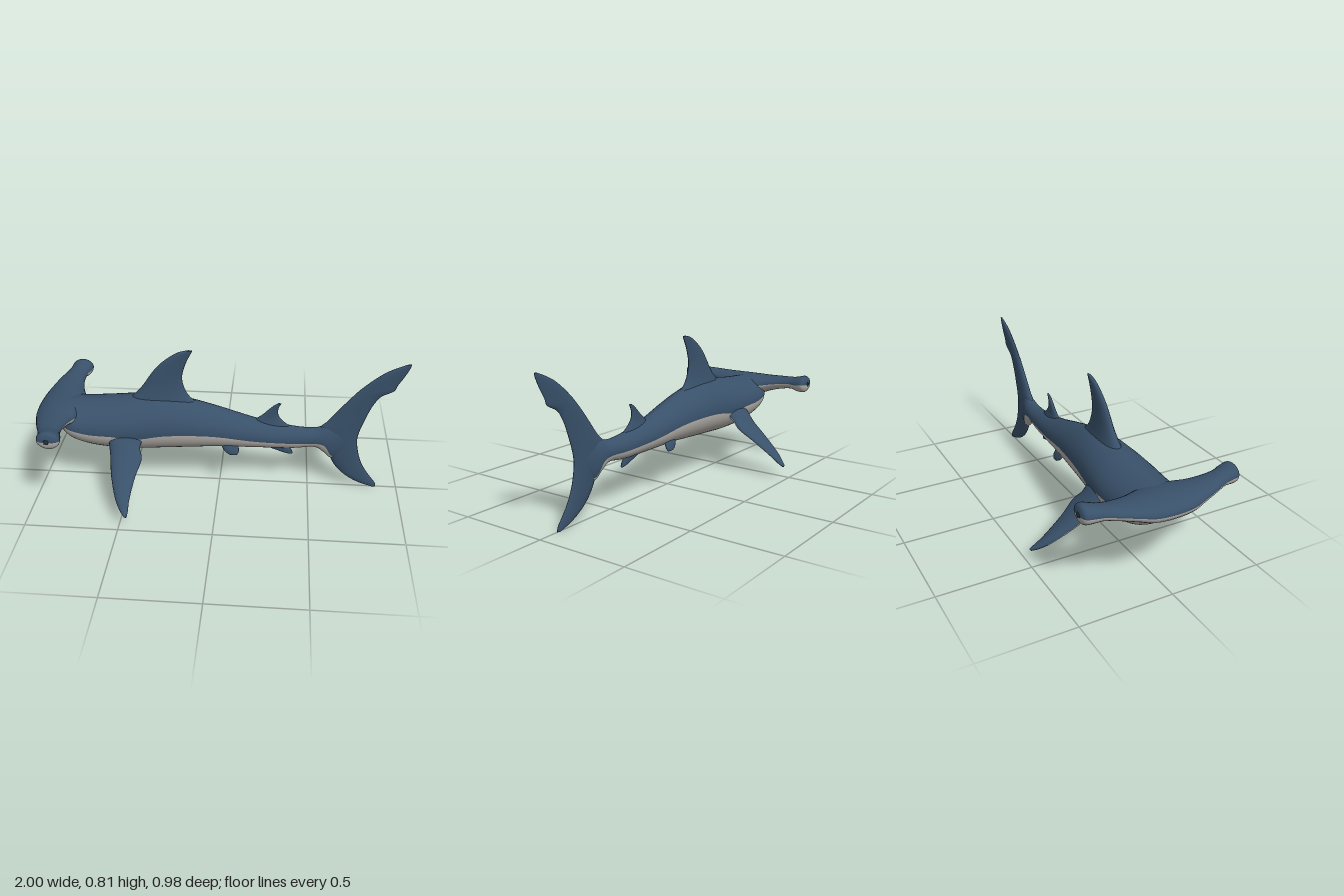
import * as THREE from 'three';

const blue = new THREE.MeshStandardMaterial({ color: 0x385069 });
blue.name = 'slate blue skin';
const pale = new THREE.MeshStandardMaterial({ color: 0xb2aea8 });
pale.name = 'pale belly';
const dark = new THREE.MeshStandardMaterial({ color: 0x22303e });
dark.name = 'dark eye';

// Catmull-Rom blend of four numbers
function blend(a, b, c, d, t) {
  const cubic = 3 * (b - c) + d - a;
  const square = 2 * a - 5 * b + 4 * c - d;
  return b + 0.5 * t * (c - a + t * (square + t * cubic));
}

// Smoothly resample a list of stations, each station being a row of numbers
function smooth(rows, steps) {
  const out = [];
  for (let i = 0; i < rows.length - 1; i++) {
    const a = rows[Math.max(i - 1, 0)], b = rows[i], c = rows[i + 1];
    const d = rows[Math.min(i + 2, rows.length - 1)];
    for (let s = 0; s < steps; s++) {
      out.push(b.map((v, k) => blend(a[k], v, c[k], d[k], s / steps)));
    }
  }
  out.push(rows[rows.length - 1]);
  return out;
}

// Skin closed rings of points, cap both ends; isPale(row, column) picks the colour
function loft(name, rings, isPale = () => false) {
  const n = rings[0].length, rows = rings.length, pos = rings.flat(2);
  const faces = [[], []];
  for (const r of [0, rows - 1]) {
    for (let k = 0; k < 3; k++) pos.push(rings[r].reduce((s, p) => s + p[k], 0) / n);
  }
  const capA = n * rows, capB = capA + 1;
  for (let i = 0; i < rows; i++) {
    for (let j = 0; j < n; j++) {
      const f = faces[isPale(i, j) ? 1 : 0], k = (j + 1) % n;
      const a = i * n + j, b = i * n + k;
      if (i === 0) f.push([capA, b, a]);
      if (i === rows - 1) f.push([capB, a, b]);
      else f.push([a, b, b + n], [a, b + n, a + n]);
    }
  }
  // Keep faces pointing outwards whichever way the rings run
  const point = (i) => new THREE.Vector3().fromArray(pos, i * 3);
  let volume = 0;
  for (const [a, b, c] of faces.flat()) volume += point(a).dot(point(b).cross(point(c)));
  if (volume < 0) faces.flat().forEach((f) => f.reverse());

  const geo = new THREE.BufferGeometry();
  geo.setAttribute('position', new THREE.Float32BufferAttribute(pos, 3));
  geo.setIndex(faces.flat(2));
  geo.addGroup(0, faces[0].length * 3, 0);
  geo.addGroup(faces[0].length * 3, faces[1].length * 3, 1);
  geo.computeVertexNormals();
  const mesh = new THREE.Mesh(geo, [blue, pale]);
  mesh.name = name;
  return mesh;
}

// Fin from sections [front x, back x, y, z, half thickness], thickened along (ny, nz)
function fin(name, sections, ny = 0, nz = 1, isPale = undefined) {
  const rings = smooth(sections, 4).map(([x0, x1, y, z, h]) =>
    Array.from({ length: 20 }, (_, j) => {
      const a = j / 20 * Math.PI * 2;
      const u = (1 - Math.cos(a)) / 2, t = h * Math.sin(a) * (1.15 - 0.4 * u);
      return [x0 + (x1 - x0) * u, y + ny * t, z + nz * t];
    }));
  return loft(name, rings, isPale);
}
const upright = (rows) => rows.map(([x0, x1, y, h]) => [x0, x1, y, 0, h]);

function createBody() {
  // x, top, bottom, half width, height of the colour line
  const stations = smooth([
    [-0.89, 0.485, 0.375, 0.07, 0.42],
    [-0.86, 0.498, 0.335, 0.12, 0.405],
    [-0.80, 0.505, 0.288, 0.157, 0.39],
    [-0.70, 0.512, 0.252, 0.166, 0.372],
    [-0.57, 0.525, 0.235, 0.17, 0.368],
    [-0.45, 0.54, 0.229, 0.16, 0.35],
    [-0.30, 0.545, 0.234, 0.142, 0.368],
    [-0.15, 0.52, 0.242, 0.124, 0.368],
    [0.00, 0.48, 0.25, 0.105, 0.355],
    [0.20, 0.42, 0.25, 0.08, 0.32],
    [0.40, 0.382, 0.25, 0.057, 0.302],
    [0.52, 0.378, 0.262, 0.047, 0.302],
    [0.58, 0.40, 0.225, 0.043, 0.285],
    [0.62, 0.41, 0.19, 0.035, 0.215],
    [0.67, 0.40, 0.22, 0.025, 0.225],
    [0.74, 0.36, 0.29, 0.012, 0.295],
  ], 5);
  const half = 20;
  const rings = stations.map(([x, top, bottom, w, line]) => {
    const mid = bottom + (top - bottom) * 0.47;
    const cosine = (line - mid) / (line > mid ? top - mid : mid - bottom);
    const split = Math.acos(THREE.MathUtils.clamp(cosine, -0.98, 0.98));
    return Array.from({ length: half * 2 }, (_, j) => {
      // First half of the ring lies above the colour line, the rest below it
      const a = j < half ? -split + 2 * split * j / half
        : split + 2 * (Math.PI - split) * (j - half) / half;
      const c = Math.cos(a), s = Math.sin(a);
      const width = Math.sign(s) * Math.pow(Math.abs(s), c > 0 ? 1.25 : 1);
      return [x, mid + c * (c > 0 ? top - mid : mid - bottom), w * width];
    });
  });
  return loft('body', rings, (i, j) => j >= half);
}

function createHammer() {
  // z, front x, back x, top, bottom
  const side = [
    [0.10, -0.993, -0.76, 0.507, 0.392],
    [0.17, -0.975, -0.788, 0.507, 0.415],
    [0.25, -0.95, -0.805, 0.511, 0.436],
    [0.32, -0.923, -0.805, 0.516, 0.446],
    [0.36, -0.912, -0.792, 0.525, 0.438],
    [0.40, -0.908, -0.785, 0.535, 0.435],
    [0.418, -0.898, -0.793, 0.527, 0.445],
    [0.427, -0.875, -0.815, 0.505, 0.465],
  ];
  const mirrored = side.map(([z, ...rest]) => [-z, ...rest]).reverse();
  const rows = smooth([...mirrored, [0, -1, -0.74, 0.508, 0.385], ...side], 4);
  const rings = rows.map(([z, x0, x1, top, bottom]) =>
    Array.from({ length: 24 }, (_, j) => {
      const a = j / 24 * Math.PI * 2;
      return [(x0 + x1) / 2 + Math.cos(a) * (x1 - x0) / 2,
        (top + bottom) / 2 + Math.sin(a) * (top - bottom) / 2, z];
    }));
  return loft('hammerHead', rings, (i, j) => j >= 12);
}

export function createModel() {
  const model = new THREE.Group();
  model.name = 'hammerheadShark';
  model.add(createBody(), createHammer());

  model.add(fin('dorsalFin', upright([
    [-0.54, -0.08, 0.48, 0.06], [-0.475, -0.16, 0.54, 0.042], [-0.42, -0.193, 0.60, 0.03],
    [-0.38, -0.203, 0.66, 0.023], [-0.335, -0.19, 0.72, 0.018], [-0.28, -0.17, 0.77, 0.014],
    [-0.225, -0.152, 0.805, 0.011], [-0.175, -0.146, 0.82, 0.006],
  ])));
  model.add(fin('secondDorsalFin', upright([
    [0.16, 0.40, 0.37, 0.03], [0.20, 0.34, 0.42, 0.016], [0.235, 0.32, 0.45, 0.012],
    [0.265, 0.317, 0.48, 0.01], [0.293, 0.325, 0.507, 0.008], [0.315, 0.335, 0.522, 0.004],
  ])));
  model.add(fin('analFin', upright([
    [0.20, 0.37, 0.275, 0.02], [0.25, 0.385, 0.25, 0.014], [0.30, 0.40, 0.23, 0.011],
    [0.35, 0.407, 0.212, 0.008], [0.385, 0.405, 0.202, 0.004],
  ])));
  model.add(fin('tailFin', upright([
    [0.86, 0.885, 0.005, 0.006], [0.785, 0.88, 0.03, 0.011], [0.715, 0.85, 0.07, 0.014],
    [0.66, 0.815, 0.12, 0.016], [0.622, 0.785, 0.18, 0.019], [0.595, 0.765, 0.25, 0.022],
    [0.57, 0.757, 0.32, 0.025], [0.55, 0.768, 0.38, 0.025], [0.585, 0.78, 0.42, 0.023],
    [0.63, 0.80, 0.48, 0.02], [0.675, 0.825, 0.54, 0.018], [0.715, 0.86, 0.59, 0.016],
    [0.745, 0.922, 0.625, 0.015], [0.78, 0.937, 0.66, 0.014], [0.825, 0.96, 0.70, 0.013],
    [0.88, 0.98, 0.74, 0.011], [0.94, 0.992, 0.77, 0.008], [0.98, 0.995, 0.786, 0.004],
  ])));

  // Paired fins and eyes
  for (const [side, s] of [['left', -1], ['right', 1]]) {
    const flip = (rows) => rows.map(([x0, x1, y, z, h]) => [x0, x1, y, s * z, h]);
    model.add(fin(side + 'PectoralFin', flip([
      [-0.60, -0.40, 0.36, 0.12, 0.04], [-0.588, -0.42, 0.312, 0.17, 0.034],
      [-0.575, -0.405, 0.268, 0.22, 0.027], [-0.56, -0.43, 0.207, 0.30, 0.022],
      [-0.525, -0.447, 0.136, 0.40, 0.018], [-0.492, -0.448, 0.098, 0.455, 0.013],
      [-0.465, -0.45, 0.08, 0.487, 0.008],
    ]), 0.81, s * 0.59, (i, j) => j >= 10 && i < 17));
    model.add(fin(side + 'PelvicFin', flip([
      [0.00, 0.10, 0.295, 0.05, 0.016], [0.02, 0.11, 0.265, 0.066, 0.014],
      [0.035, 0.11, 0.245, 0.075, 0.011], [0.06, 0.10, 0.23, 0.081, 0.006],
    ]), 0.4, s * 0.9));
    const eye = new THREE.Mesh(new THREE.SphereGeometry(0.014, 16, 10), dark);
    eye.name = side + 'Eye';
    eye.scale.z = 0.4;
    eye.position.set(-0.85, 0.487, s * 0.427);
    model.add(eye);
  }
  return model;
}
